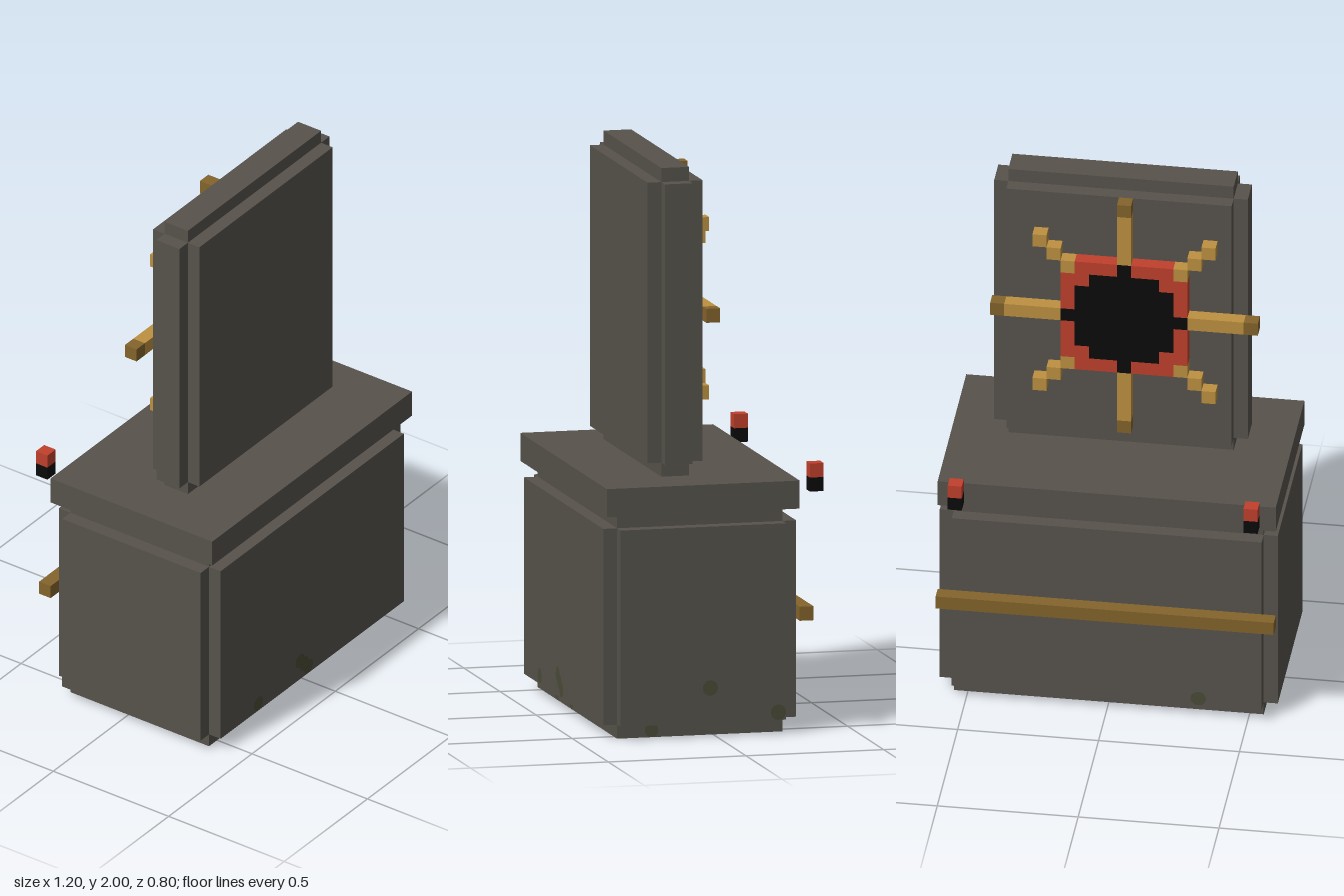
import * as THREE from 'three';

const mat = (name, color) => {
  const m = new THREE.MeshStandardMaterial({ color });
  m.name = name;
  return m;
};

export function createModel() {
  const stone = mat('stone', 0x57534c);
  const gold = mat('gold', 0xbd9140);
  const darkGold = mat('dark gold', 0x84642b);
  const red = mat('red', 0xc0402d);
  const black = mat('black', 0x0a0a0a);
  const moss = mat('moss', 0x4a4b36);

  const model = new THREE.Group();
  model.name = 'altar';
  const group = (name) => {
    const g = new THREE.Group();
    g.name = name;
    model.add(g);
    return g;
  };

  // Box given by its two extreme corners
  const box = (parent, name, material, x0, x1, y0, y1, z0, z1) => {
    const mesh = new THREE.Mesh(new THREE.BoxGeometry(x1 - x0, y1 - y0, z1 - z0), material);
    mesh.position.set((x0 + x1) / 2, (y0 + y1) / 2, (z0 + z1) / 2);
    mesh.name = name;
    parent.add(mesh);
  };

  // Block with a square notch along every edge: three crossing boxes
  const U = 0.05;
  const notched = (parent, name, x, y0, y1, z0, z1) => {
    box(parent, name + 'Width', stone, -x, x, y0 + U, y1 - U, z0 + U, z1 - U);
    box(parent, name + 'Height', stone, -x + U, x - U, y0, y1, z0 + U, z1 - U);
    box(parent, name + 'Depth', stone, -x + U, x - U, y0 + U, y1 - U, z0, z1);
  };

  // Pedestal, its top slab and the upright tablet
  const base = group('pedestal');
  notched(base, 'pedestalBlock', 0.6, 0, 0.8, -0.3, 0.4);
  box(base, 'topSlab', stone, -0.6, 0.6, 0.8, 0.9, -0.3, 0.4);
  box(base, 'backRail', darkGold, -0.6, 0.6, 0.4, 0.45, -0.35, -0.3);
  notched(group('tablet'), 'tabletBlock', 0.45, 0.9, 2, 0, 0.2);

  // Pair of small candles behind the slab
  const candles = group('candles');
  for (const x of [-0.525, 0.525]) {
    box(candles, 'candleBase', black, x - 0.025, x + 0.025, 0.85, 0.9, -0.4, -0.35);
    box(candles, 'candleFlame', red, x - 0.025, x + 0.025, 0.9, 0.95, -0.4, -0.35);
  }

  // Sun emblem on a grid of cells, i across and j up, counted from its centre
  const sun = group('sunEmblem');
  const cells = (name, material, i0, i1, j0, j1) =>
    box(sun, name, material, -0.05 + i0 * U, i1 * U, 1.45 + j0 * U, 1.5 + j1 * U, -0.05, 0);

  // Black disc in a red square with open corners
  const discHalf = [4, 3, 3, 2, 0];
  for (let j = -4; j <= 4; j++) {
    const w = discHalf[Math.abs(j)];
    const edge = Math.abs(j) === 4 ? 3 : 4;
    cells('sunDisc', black, -w, w, j, j);
    if (w < edge) {
      cells('sunFrame', red, -edge, -w - 1, j, j);
      cells('sunFrame', red, w + 1, edge, j, j);
    }
  }

  // Straight rays with dark tips, and stepped diagonal rays
  for (const s of [-1, 1]) {
    const a = s > 0 ? 5 : -8;
    cells('sideRay', gold, a, a + 3, 0, 0);
    cells('uprightRay', gold, 0, 0, a, a + 3);
    cells('sideRayTip', darkGold, 9 * s, 9 * s, 0, 0);
    cells('uprightRayTip', darkGold, 0, 0, 9 * s, 9 * s);
    for (const t of [-1, 1])
      for (let k = 4; k <= 6; k++) cells('diagonalRay', gold, k * s, k * s, k * t, k * t);
  }

  // Moss spots: thin discs lying on the faces of the pedestal
  const mossGroup = group('mossSpots');
  const spot = (x, y, z, rx, ry, r = 0.028) => {
    const mesh = new THREE.Mesh(new THREE.CircleGeometry(r, 12), moss);
    mesh.position.set(x, y, z);
    mesh.rotation.set(rx, ry, 0);
    mesh.name = 'mossSpot';
    mossGroup.add(mesh);
  };
  const e = 0.002;
  // front
  for (const [x, y] of [[-0.325, 0.08], [-0.075, 0.128], [-0.05, 0.104], [-0.025, 0.08]])
    spot(x, y, 0.4 + e, 0, 0);
  for (const x of [-0.275, -0.075]) spot(x, 0.025, 0.35 + e, 0, 0, 0.025);
  // left side
  spot(0.6 + e, 0.175, 0.025, 0, Math.PI / 2);
  spot(0.6 + e, 0.078, -0.222, 0, Math.PI / 2);
  spot(0.55 + e, 0.025, 0.225, 0, Math.PI / 2, 0.025);
  // back
  spot(-0.325, 0.078, -0.3 - e, 0, Math.PI);
  // underside
  for (const [x, z] of [[0.06, 0.32], [0.26, -0.06], [0.06, -0.1], [0.35, 0.15], [-0.475, -0.07]])
    spot(x, -0.001, z, Math.PI / 2, 0);

  return model;
}
